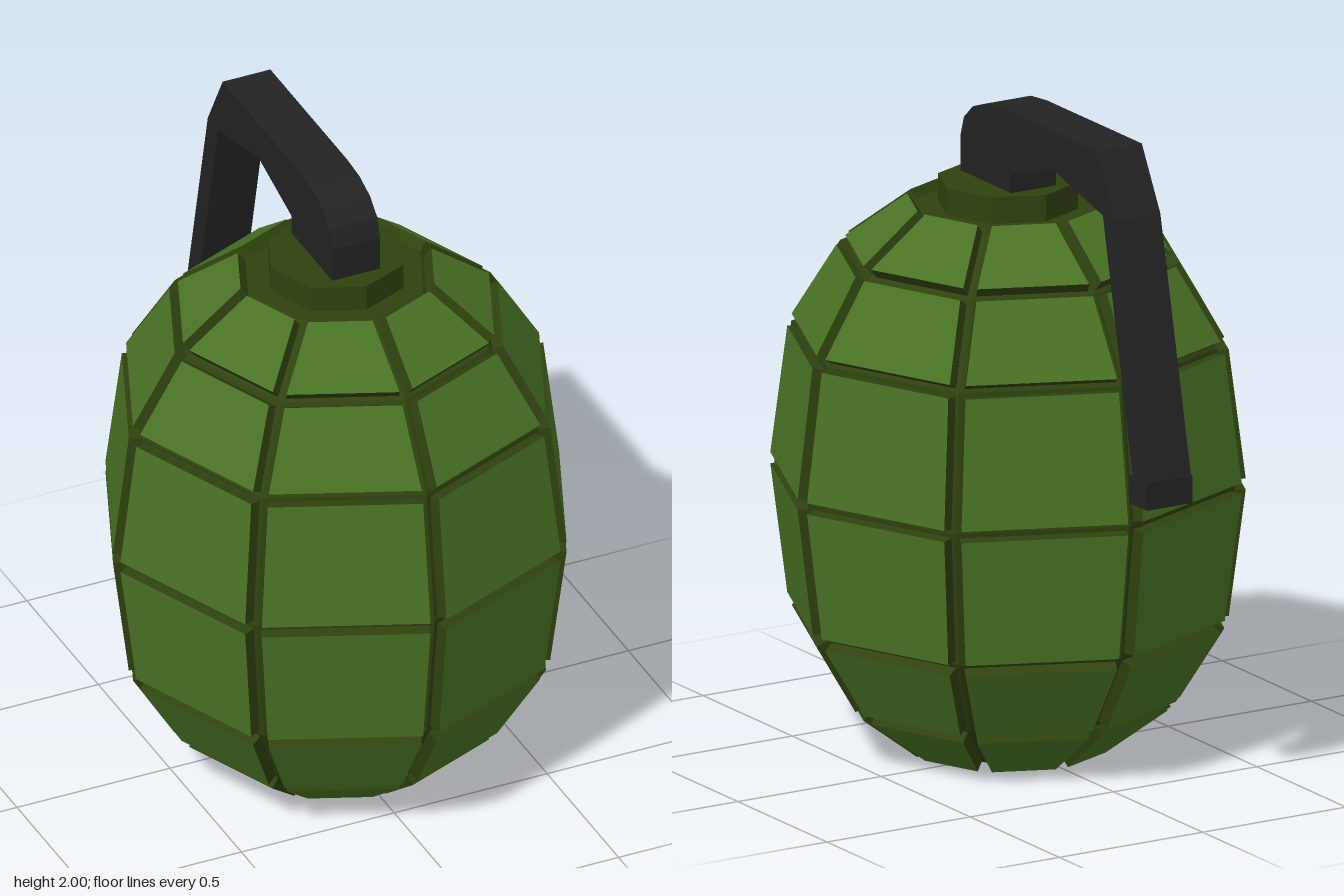
import * as THREE from 'three';

const SIDES = 8;
const BODY_Z = 0.093;
const GROOVE = 0.013; // gap from a core edge to the foot of a panel
const RAISE = 0.037; // panel thickness

// Core outline: radius, height
const PROFILE = [
  [0.275, 0.022], [0.485, 0.18], [0.635, 0.425], [0.69, 0.845],
  [0.635, 1.265], [0.485, 1.51], [0.275, 1.668],
];

function faceted(geometry) {
  const g = geometry.index ? geometry.toNonIndexed() : geometry;
  g.computeVertexNormals();
  return g;
}

function quadsGeometry(quads) {
  const points = quads.flatMap(([a, b, c, d]) => [a, b, c, a, c, d]);
  return faceted(new THREE.BufferGeometry().setFromPoints(points));
}

function ringPoint([r, y], angle) {
  return new THREE.Vector3(r * Math.sin(angle), y, r * Math.cos(angle));
}

// Inset the corners of one core facet, then raise them along its normal
function panelCorners(corners) {
  const normal = corners[1].clone().sub(corners[0])
    .cross(corners[3].clone().sub(corners[0])).normalize();
  const foot = corners.map((p, i) => {
    const u = corners[(i + 1) % 4].clone().sub(p).normalize();
    const v = corners[(i + 3) % 4].clone().sub(p).normalize();
    const s = GROOVE / u.clone().cross(v).length();
    return p.clone().addScaledVector(u.add(v), s);
  });
  const face = foot.map((p) => p.clone().addScaledVector(normal, RAISE));
  return { foot, face };
}

export function createModel() {
  const panelGreen = new THREE.MeshStandardMaterial({ color: 0x4a7325 });
  panelGreen.name = 'panel green';
  const grooveGreen = new THREE.MeshStandardMaterial({ color: 0x2f420f });
  grooveGreen.name = 'groove green';
  const leverBlack = new THREE.MeshStandardMaterial({ color: 0x232323 });
  leverBlack.name = 'lever black';

  const model = new THREE.Group();
  model.name = 'grenade';
  const body = new THREE.Group();
  body.name = 'body';
  body.position.z = BODY_Z;
  model.add(body);

  const add = (parent, name, geometry, material) => {
    const mesh = new THREE.Mesh(geometry, material);
    mesh.name = name;
    parent.add(mesh);
    return mesh;
  };

  // Eight-sided core, seen in the grooves and at both ends
  const outline = [[0, PROFILE[0][1]], ...PROFILE, [0, PROFILE[6][1]]]
    .map(([r, y]) => new THREE.Vector2(r, y));
  add(body, 'core', faceted(new THREE.LatheGeometry(outline, SIDES)), grooveGreen);

  // Raised panels, one ring for each band of the core
  for (let row = 0; row < PROFILE.length - 1; row++) {
    const faces = [], walls = [];
    for (let i = 0; i < SIDES; i++) {
      const a = (i / SIDES) * Math.PI * 2;
      const b = ((i + 1) / SIDES) * Math.PI * 2;
      const low = PROFILE[row], high = PROFILE[row + 1];
      const { foot, face } = panelCorners([
        ringPoint(low, a), ringPoint(low, b), ringPoint(high, b), ringPoint(high, a),
      ]);
      faces.push(face);
      for (let k = 0; k < 4; k++) {
        const n = (k + 1) % 4;
        walls.push([foot[k], foot[n], face[n], face[k]]);
      }
    }
    add(body, `panelFaces${row + 1}`, quadsGeometry(faces), panelGreen);
    add(body, `panelSides${row + 1}`, quadsGeometry(walls), grooveGreen);
  }

  // Collar under the lever
  const collar = add(body, 'collar',
    faceted(new THREE.CylinderGeometry(0.213, 0.213, 0.1, SIDES)), grooveGreen);
  collar.position.y = 1.7;

  // Lever: side outline as (z, y), extruded across x
  const side = [
    [0.234, 1.74], [0.234, 1.86], [0.215, 1.92], [0.165, 1.965], [0.09, 1.992], [0, 2],
    [-0.533, 2], [-0.637, 1.81], [-0.812, 1.03], [-0.737, 1.03],
    [-0.565, 1.81], [-0.284, 1.88], [-0.05, 1.81], [-0.05, 1.74],
  ].map(([z, y]) => new THREE.Vector2(z, y));
  const lever = new THREE.ExtrudeGeometry(new THREE.Shape(side),
    { depth: 0.156, bevelEnabled: false });
  lever.translate(0, 0, -0.078).rotateY(-Math.PI / 2);
  add(model, 'lever', faceted(lever), leverBlack);

  // Lip at the lower end of the lever
  const lip = add(model, 'leverLip', new THREE.BoxGeometry(0.158, 0.086, 0.1), leverBlack);
  lip.position.set(0, 1.003, -0.765);

  return model;
}
